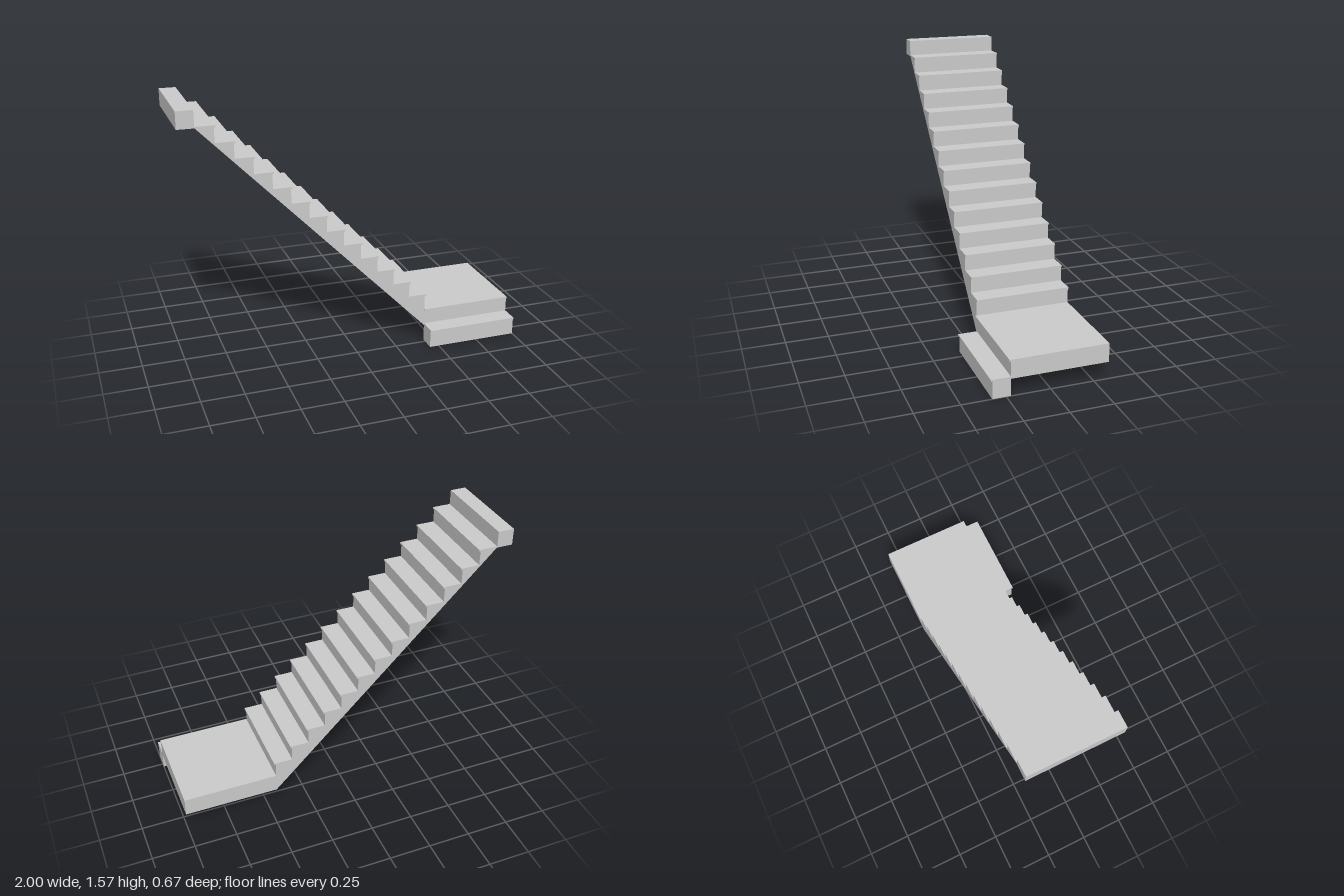
import * as THREE from 'three';

const material = new THREE.MeshStandardMaterial({ color: 0xcccccc, flatShading: true });

// Overall stair dimensions
const BACK = -0.335, FRONT = 0.225;
const STEPS = 13, RUN = 0.1035, RISE = 0.0973;
const FOOT_X = 0.442, LANDING_Y = 0.21;
const LIP = 0.009, LIP_H = 0.011;

function box(name, x0, x1, y0, y1, z0, z1) {
  const mesh = new THREE.Mesh(new THREE.BoxGeometry(x1 - x0, y1 - y0, z1 - z0), material);
  mesh.name = name;
  mesh.position.set((x0 + x1) / 2, (y0 + y1) / 2, (z0 + z1) / 2);
  return mesh;
}

// Sawtooth flight with sloping underside and a nosing lip on every tread
function createFlight() {
  const shape = new THREE.Shape();
  shape.moveTo(FOOT_X, 0.1);
  for (let i = 0; i < STEPS; i++) {
    const x = FOOT_X - i * RUN;
    const top = LANDING_Y + (i + 1) * RISE;
    shape.lineTo(x, top - LIP_H);
    shape.lineTo(x + LIP, top - LIP_H);
    shape.lineTo(x + LIP, top);
    shape.lineTo(x - RUN, top);
  }
  shape.lineTo(FOOT_X - STEPS * RUN, 1.468);
  shape.closePath();
  const geometry = new THREE.ExtrudeGeometry(shape, { depth: FRONT - BACK, bevelEnabled: false });
  const flight = new THREE.Mesh(geometry, material);
  flight.name = 'stairFlight';
  flight.position.z = BACK;
  return flight;
}

export function createModel() {
  const group = new THREE.Group();
  group.name = 'staircase';

  // Bottom step, in front of the landing
  group.add(box('bottomStep', FOOT_X, 1, 0, 0.102, FRONT, 0.328));
  group.add(box('bottomStepTread', FOOT_X, 1, 0.102, 0.112, FRONT, 0.336));

  // Square landing with its nosing toward the bottom step
  group.add(box('landing', FOOT_X, 1, 0.1, LANDING_Y - LIP_H, BACK, FRONT));
  group.add(box('landingTread', FOOT_X, 1, LANDING_Y - LIP_H, LANDING_Y, BACK, FRONT + LIP));

  group.add(createFlight());

  // Block at the upper floor
  group.add(box('topBlock', -1, FOOT_X - STEPS * RUN, 1.467, 1.566, BACK, FRONT));
  return group;
}
